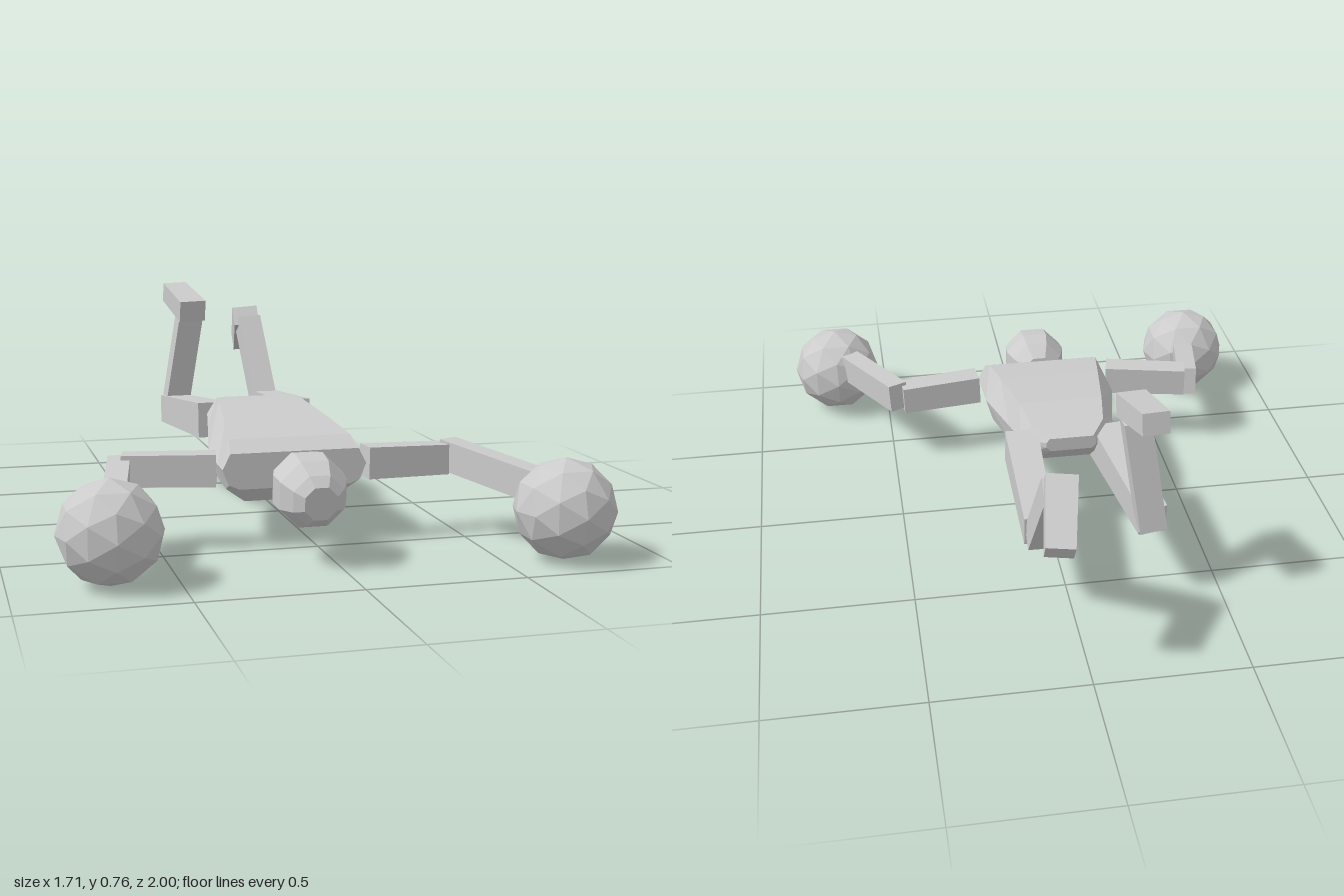
import * as THREE from 'three';

const grey = new THREE.MeshStandardMaterial({ color: 0xcccccc, flatShading: true });
const UP = [0, 1, 0], SIDE = [1, 0, 0];

function part(parent, name, geometry, x = 0, y = 0, z = 0) {
  const mesh = new THREE.Mesh(geometry, grey);
  mesh.name = name;
  mesh.position.set(x, y, z);
  parent.add(mesh);
  return mesh;
}

// Box running from a to b; w is measured along ref, h across it, the far end scaled by taper
function limb(parent, name, a, b, ref, w, h, taper = 1) {
  const A = new THREE.Vector3(...a), B = new THREE.Vector3(...b);
  const zAxis = B.clone().sub(A), length = zAxis.length();
  zAxis.normalize();
  const xAxis = new THREE.Vector3(...ref);
  xAxis.addScaledVector(zAxis, -xAxis.dot(zAxis)).normalize();
  const yAxis = zAxis.clone().cross(xAxis);
  const geometry = new THREE.BoxGeometry(w, h, length);
  const p = geometry.attributes.position;
  for (let i = 0; i < p.count; i++) {
    if (p.getZ(i) > 0) p.setXY(i, p.getX(i) * taper, p.getY(i) * taper);
  }
  const mesh = part(parent, name, geometry);
  mesh.quaternion.setFromRotationMatrix(new THREE.Matrix4().makeBasis(xAxis, yAxis, zAxis));
  mesh.position.copy(A.add(B).multiplyScalar(0.5));
}

// Eight-sided loops skinned front to back; each: z, then (y, half width) top, middle, low, bottom
function torsoGeometry() {
  const sections = [
    [0.485, 0.31, 0.21, 0.26, 0.235, 0.21, 0.215, 0.195, 0.18],
    [0.42, 0.345, 0.2, 0.265, 0.237, 0.185, 0.21, 0.142, 0.15],
    [0.27, 0.37, 0.18, 0.285, 0.235, 0.2, 0.21, 0.15, 0.15],
    [0.02, 0.405, 0.145, 0.32, 0.185, 0.24, 0.17, 0.178, 0.13],
    [-0.11, 0.395, 0.125, 0.34, 0.16, 0.285, 0.145, 0.255, 0.11],
    [-0.195, 0.383, 0.075, 0.368, 0.085, 0.35, 0.085, 0.335, 0.07],
  ];
  const points = [], index = [], n = 8;
  for (const s of sections) {
    const [z, ...r] = s;
    for (let i = 0; i < n; i++) {
      const k = i < 4 ? i : 7 - i;
      points.push(r[2 * k + 1] * (i < 4 ? -1 : 1), r[2 * k], z);
    }
  }
  for (let j = 0; j < sections.length - 1; j++) {
    for (let i = 0; i < n; i++) {
      const a = j * n + i, b = j * n + (i + 1) % n;
      index.push(a, a + n, b, b, a + n, b + n);
    }
  }
  const last = (sections.length - 1) * n;
  for (let i = 1; i < n - 1; i++) {
    index.push(0, i, i + 1, last, last + i + 1, last + i);
  }
  const geometry = new THREE.BufferGeometry();
  geometry.setAttribute('position', new THREE.Float32BufferAttribute(points, 3));
  geometry.setIndex(index);
  geometry.computeVertexNormals();
  return geometry;
}

export function createModel() {
  const model = new THREE.Group();
  model.name = 'lyingFigure';

  part(model, 'torso', torsoGeometry(), -0.071);

  // Neck and faceted head, pointing forward
  part(model, 'neck', new THREE.CylinderGeometry(0.035, 0.035, 0.1, 6).rotateX(Math.PI / 2), -0.075, 0.24, 0.5);
  const profile = [[0, -0.14], [0.06, -0.14], [0.1, -0.08], [0.118, -0.02], [0.113, 0.05], [0.085, 0.11], [0.055, 0.14], [0, 0.14]]
    .map(([r, y]) => new THREE.Vector2(r, y));
  const head = part(model, 'head', new THREE.LatheGeometry(profile, 8).rotateY(Math.PI / 8).rotateX(Math.PI / 2), -0.075, 0.226, 0.66);
  head.rotation.x = 0.12;

  // Arms with round gloves
  const arms = [
    { side: 'left', shoulder: [0.175, 0.255, 0.435], elbow: [0.46, 0.248, 0.405],
      bend: [0.475, 0.26, 0.385], wrist: [0.64, 0.215, 0.74], glove: [0.692, 0.16, 0.835] },
    { side: 'right', shoulder: [-0.315, 0.255, 0.43], elbow: [-0.605, 0.255, 0.365],
      bend: [-0.61, 0.25, 0.35], wrist: [-0.675, 0.19, 0.67], glove: [-0.702, 0.16, 0.78] },
  ];
  for (const a of arms) {
    const arm = new THREE.Group();
    arm.name = a.side + 'Arm';
    limb(arm, 'upperArm', a.shoulder, a.elbow, UP, 0.104, 0.082, 0.95);
    limb(arm, 'forearm', a.bend, a.wrist, UP, 0.1, 0.072);
    part(arm, 'glove', new THREE.IcosahedronGeometry(0.16, 1), ...a.glove);
    model.add(arm);
  }

  // Legs bent up at the knee
  const legs = [
    { side: 'left', hip: [0.088, 0.317, -0.11], knee: [0.102, 0.287, -0.58],
      shin: [0.098, 0.265, -0.585], ankle: [0.08, 0.59, -0.805], heel: [0.068, 0.613, -0.787], toe: [0.103, 0.488, -0.98] },
    { side: 'right', hip: [-0.208, 0.317, -0.11], knee: [-0.268, 0.287, -0.58],
      shin: [-0.265, 0.26, -0.575], ankle: [-0.212, 0.64, -0.525], heel: [-0.208, 0.665, -0.472], toe: [-0.235, 0.722, -0.7] },
  ];
  for (const l of legs) {
    const leg = new THREE.Group();
    leg.name = l.side + 'Leg';
    limb(leg, 'thigh', l.hip, l.knee, SIDE, 0.112, 0.122, 0.82);
    limb(leg, 'shin', l.shin, l.ankle, SIDE, 0.088, 0.08);
    limb(leg, 'foot', l.heel, l.toe, SIDE, 0.098, 0.078, 0.9);
    model.add(leg);
  }
  return model;
}
